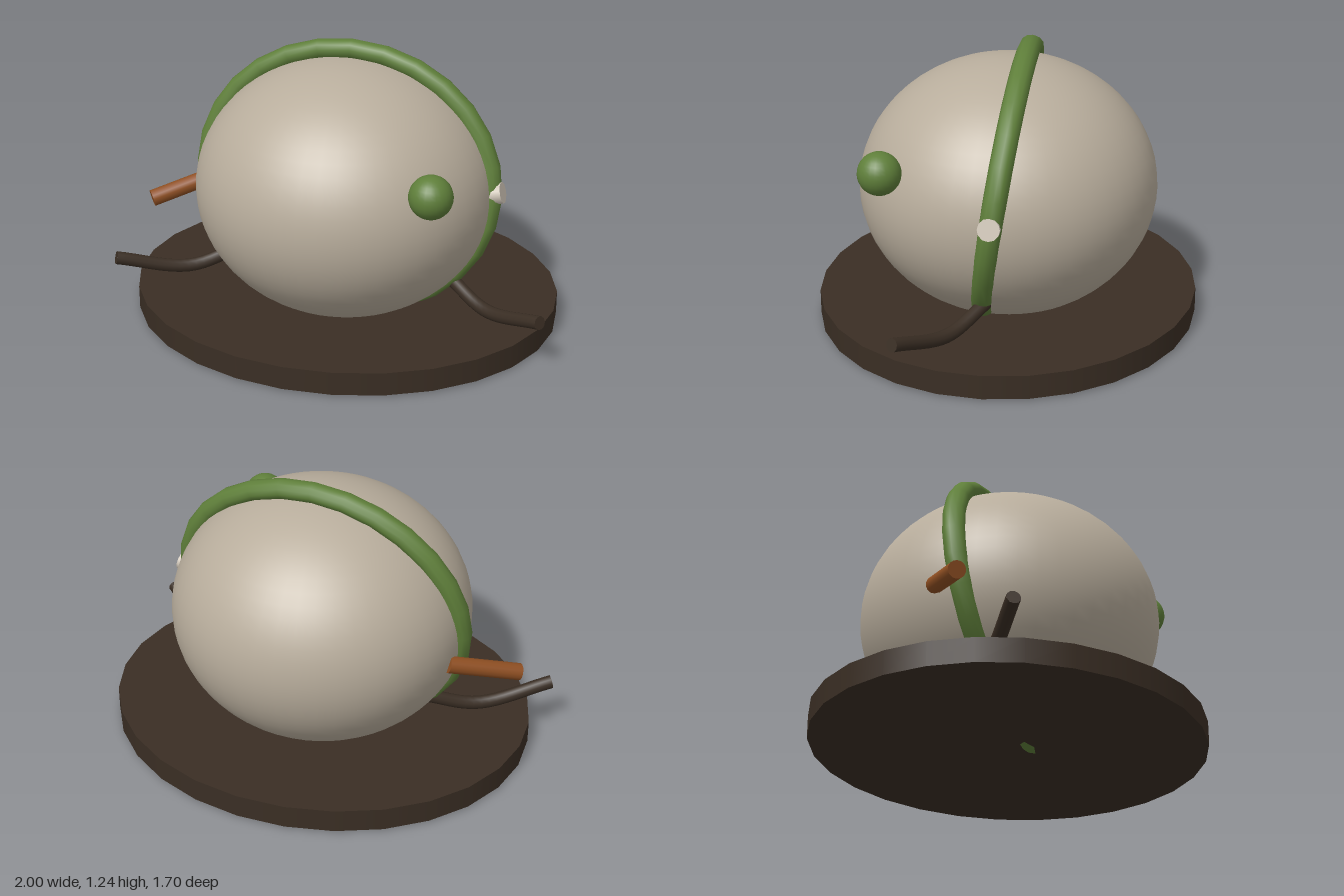
import * as THREE from 'three';

const material = (name, color) => {
  const m = new THREE.MeshStandardMaterial({ color });
  m.name = name;
  return m;
};

export function createModel() {
  const model = new THREE.Group();
  const stone = material('warm grey', 0xb8ad9c);
  const green = material('moss green', 0x5f7f3a);
  const brown = material('dark brown', 0x3a2e24);
  const orange = material('rust orange', 0x8f4f22);
  const pale = material('pale cream', 0xd0c6b8);

  const add = (name, geometry, mat, x = 0, y = 0, z = 0) => {
    const mesh = new THREE.Mesh(geometry, mat);
    mesh.name = name;
    mesh.position.set(x, y, z);
    model.add(mesh);
    return mesh;
  };

  // Rod between two points
  const rod = (name, a, b, radius, sides, mat) => {
    const dir = b.clone().sub(a);
    const mid = a.clone().add(b).multiplyScalar(0.5);
    const mesh = add(name, new THREE.CylinderGeometry(radius, radius, dir.length(), sides), mat, mid.x, mid.y, mid.z);
    mesh.quaternion.setFromUnitVectors(new THREE.Vector3(0, 1, 0), dir.normalize());
    return mesh;
  };

  // Oval base plate
  add('base', new THREE.CylinderGeometry(1, 1, 0.105, 28).scale(0.966, 1, 0.85), brown, 0, 0.0675, 0);

  // Slightly squashed round body
  add('body', new THREE.SphereGeometry(1, 48, 32).scale(0.673, 0.578, 0.664), stone, 0, 0.6, 0);

  // Leaning band around the body
  const band = add('band', new THREE.TorusGeometry(0.665, 0.05, 12, 28).scale(1, 0.88, 1), green, 0, 0.63, 0);
  band.rotation.x = -0.147;

  // Ball on the front left
  add('ball', new THREE.SphereGeometry(0.094, 24, 16), green, 0.527, 0.812, 0.483);

  // Stud on the band
  rod('stud', new THREE.Vector3(0.66, 0.642, 0), new THREE.Vector3(0.717, 0.656, 0), 0.048, 12, pale);

  // Spout on the right
  rod('spout', new THREE.Vector3(-0.65, 0.525, -0.1), new THREE.Vector3(-0.91, 0.44, 0.1), 0.038, 14, orange);

  // Mirrored curved arms with closed ends
  for (const side of [1, -1]) {
    const points = [[0.5, 0.23, 0.04], [0.7, 0.165, 0.175], [0.98, 0.245, 0.362]]
      .map(([x, y, z]) => new THREE.Vector3(side * x, y, z));
    const curve = new THREE.CatmullRomCurve3(points);
    const name = side > 0 ? 'leftArm' : 'rightArm';
    add(name, new THREE.TubeGeometry(curve, 16, 0.03, 10), brown);
    const cap = add(name + 'End', new THREE.CircleGeometry(0.03, 10), brown, ...points[2].toArray());
    cap.quaternion.setFromUnitVectors(new THREE.Vector3(0, 0, 1), curve.getTangent(1));
  }

  return model;
}
